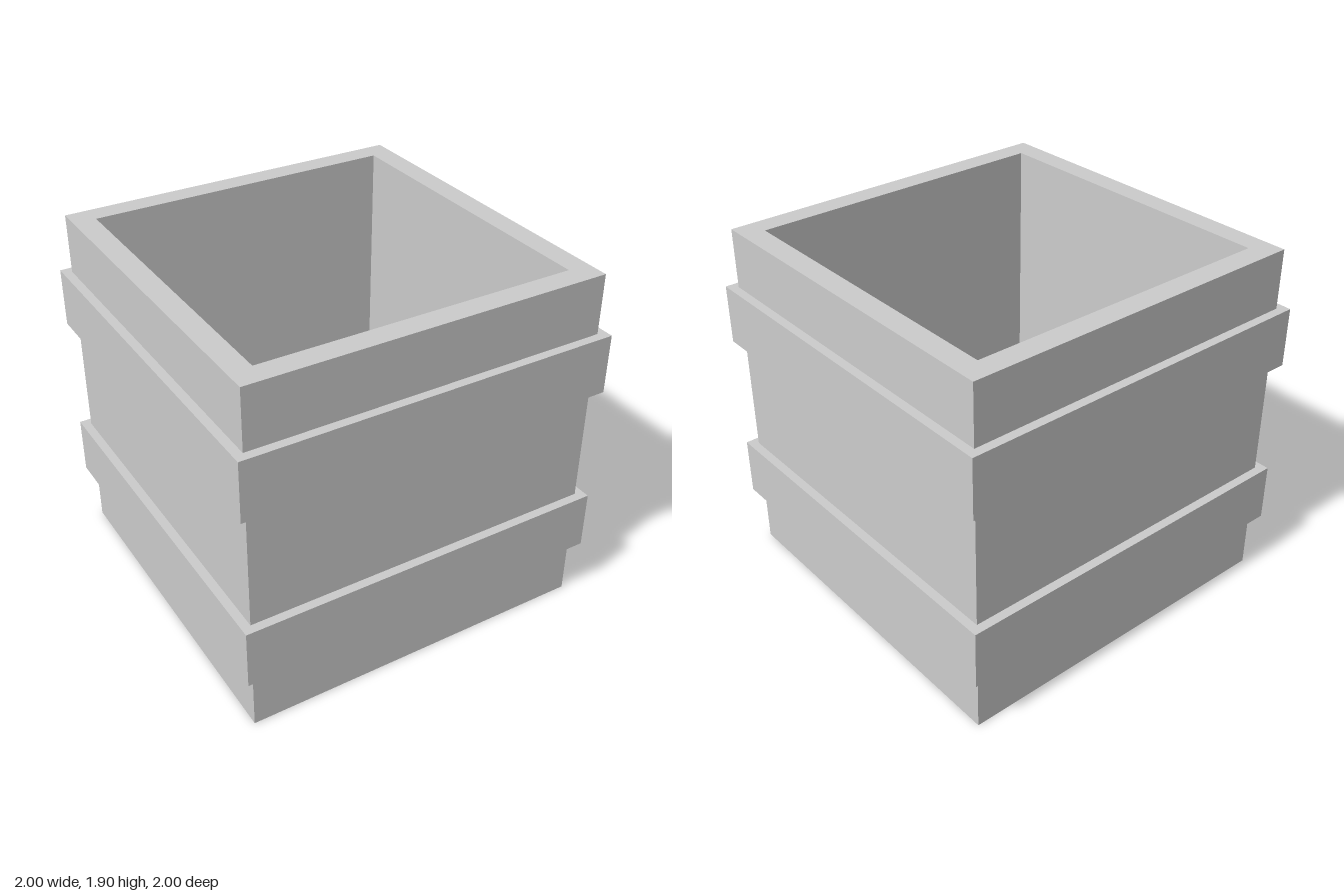
import * as THREE from 'three';

const OUTER = 0.9525, INNER = 0.833, BAND = 1, STEP = 0.3175, HEIGHT = 6 * STEP, FLOOR = 0.12;

// Square tube standing on the given height
function squareRing(outer, inner, y, height) {
  const square = (r, Path) => new Path([
    new THREE.Vector2(-r, -r), new THREE.Vector2(r, -r),
    new THREE.Vector2(r, r), new THREE.Vector2(-r, r),
  ]);
  const shape = square(outer, THREE.Shape);
  shape.holes.push(square(inner, THREE.Path));
  const geometry = new THREE.ExtrudeGeometry(shape, { depth: height, bevelEnabled: false });
  return geometry.rotateX(-Math.PI / 2).translate(0, y, 0);
}

export function createModel() {
  const model = new THREE.Group();
  const grey = new THREE.MeshStandardMaterial({ color: 0xcccccc });
  grey.name = 'plain grey';

  function add(name, geometry) {
    const mesh = new THREE.Mesh(geometry, grey);
    mesh.name = name;
    model.add(mesh);
  }

  // Open box: four walls and a base
  add('walls', squareRing(OUTER, INNER, 0, HEIGHT));
  add('floor', new THREE.BoxGeometry(2 * INNER, FLOOR, 2 * INNER).translate(0, FLOOR / 2, 0));

  // Two bands around the outside
  add('lowerBand', squareRing(BAND, OUTER, STEP, STEP));
  add('upperBand', squareRing(BAND, OUTER, 4 * STEP, STEP));

  // Three stepped tiles on the floor; the fourth quarter stays flat
  for (const [name, sx, sz] of [['backRight', -1, -1], ['backLeft', 1, -1], ['frontLeft', 1, 1]]) {
    [0.025, 0.05].forEach((edge, tier) => {
      const size = INNER - edge, middle = (INNER + edge) / 2, rise = 0.025;
      add(`${name}FloorTile${tier + 1}`, new THREE.BoxGeometry(size, rise, size)
        .translate(sx * middle, FLOOR + rise * (tier + 0.5), sz * middle));
    });
  }
  return model;
}
